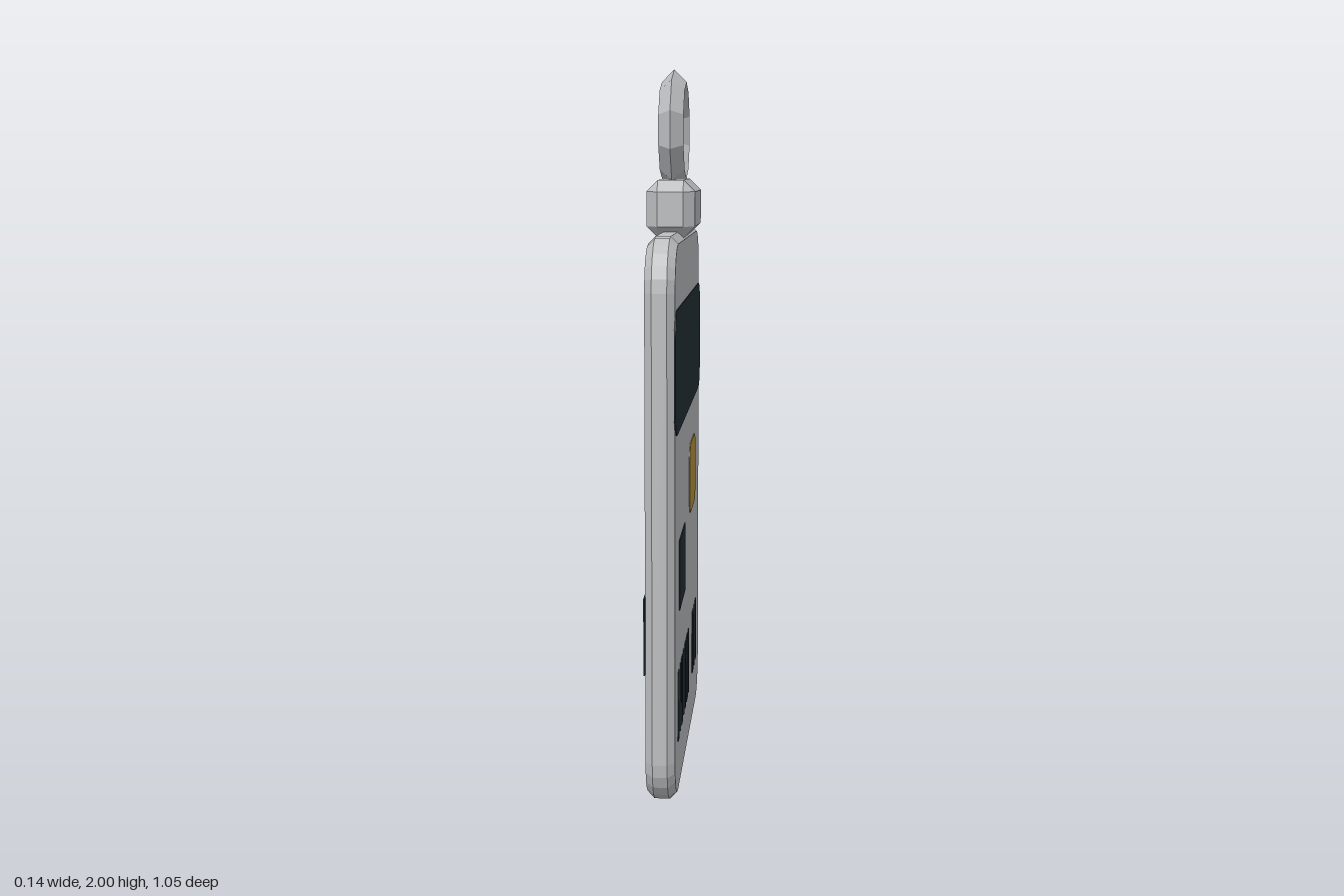
import * as THREE from 'three';
import { ConvexGeometry } from 'three/addons/geometries/ConvexGeometry.js';

const metal = new THREE.MeshStandardMaterial({ name: 'paleGrey', color: 0xbdbfc1, flatShading: true });
const dark = new THREE.MeshStandardMaterial({ name: 'darkSlate', color: 0x263238, flatShading: true });
const gold = new THREE.MeshStandardMaterial({ name: 'gold', color: 0xbb973e, flatShading: true });

const CARD_HALF_THICKNESS = 0.04;

// Rectangle with optional rounded corners, drawn around its centre
function roundedRect(w, h, r) {
  const s = new THREE.Shape();
  const x = w / 2, y = h / 2;
  if (r === 0) {
    s.moveTo(-x, -y).lineTo(x, -y).lineTo(x, y).lineTo(-x, y).closePath();
    return s;
  }
  const q = Math.PI / 2;
  s.absarc(x - r, -y + r, r, -q, 0);
  s.absarc(x - r, y - r, r, 0, q);
  s.absarc(-x + r, y - r, r, q, 2 * q);
  s.absarc(-x + r, -y + r, r, 2 * q, 3 * q);
  s.closePath();
  return s;
}

// Thin printed plate on one broad face (side +1 or -1), spanning z0..z1 and y0..y1
function plate(name, material, side, z0, z1, y0, y1, r = 0) {
  const depth = 0.004;
  const geo = new THREE.ExtrudeGeometry(roundedRect(z1 - z0, y1 - y0, r), {
    depth, bevelEnabled: false, curveSegments: 5,
  });
  geo.rotateY(side * Math.PI / 2);
  const mesh = new THREE.Mesh(geo, material);
  mesh.name = name;
  mesh.position.set(side * (CARD_HALF_THICKNESS - 0.001), (y0 + y1) / 2, (z0 + z1) / 2);
  return mesh;
}

// Box with every edge and corner cut off by c
function chamferedBox(hx, hy, hz, c) {
  const points = [];
  for (const sx of [-1, 1]) for (const sy of [-1, 1]) for (const sz of [-1, 1]) {
    points.push(
      new THREE.Vector3(sx * hx, sy * (hy - c), sz * (hz - c)),
      new THREE.Vector3(sx * (hx - c), sy * hy, sz * (hz - c)),
      new THREE.Vector3(sx * (hx - c), sy * (hy - c), sz * hz),
    );
  }
  return new ConvexGeometry(points);
}

export function createModel() {
  const model = new THREE.Group();
  model.name = 'keyCard';

  // Card body with bevelled rim, broad faces towards +x and -x
  const bevel = 0.02;
  const cardGeo = new THREE.ExtrudeGeometry(roundedRect(1.05, 1.55, 0.14), {
    depth: 2 * (CARD_HALF_THICKNESS - bevel), curveSegments: 3,
    bevelSize: bevel, bevelThickness: bevel, bevelOffset: -bevel, bevelSegments: 1,
  });
  cardGeo.translate(0, 0.775, -(CARD_HALF_THICKNESS - bevel));
  cardGeo.rotateY(Math.PI / 2);
  const card = new THREE.Mesh(cardGeo, metal);
  card.name = 'cardBody';
  model.add(card);

  // Clasp on the top edge
  const clasp = new THREE.Mesh(chamferedBox(0.068, 0.08, 0.165, 0.032), metal);
  clasp.name = 'clasp';
  clasp.position.y = 1.613;
  model.add(clasp);

  // Ten-sided ring of diamond section, one corner pointing up
  const ringGeo = new THREE.TorusGeometry(0.135, 0.035, 4, 10);
  ringGeo.rotateZ(Math.PI / 2);
  ringGeo.rotateY(Math.PI / 2);
  const ring = new THREE.Mesh(ringGeo, metal);
  ring.name = 'ring';
  ring.position.y = 1.83;
  model.add(ring);

  // Printed details on the main face
  model.add(plate('headerBand', dark, 1, -0.525, 0.525, 1.03, 1.362, 0.07));
  model.add(plate('chip', gold, 1, -0.307, -0.053, 0.7, 0.912, 0.045));
  model.add(plate('photoSquare', dark, 1, 0.138, 0.36, 0.525, 0.722));

  // Barcode: centre z and width of each bar
  const bars = [
    [0.39, 0.037], [0.32, 0.017], [0.257, 0.048], [0.188, 0.017], [0.122, 0.032],
    [0.055, 0.059], [-0.01, 0.021], [-0.209, 0.048], [-0.275, 0.021], [-0.341, 0.037],
  ];
  const barcode = new THREE.Group();
  barcode.name = 'barcode';
  for (const [z, w] of bars) {
    barcode.add(plate('bar', dark, 1, z - w / 2, z + w / 2, 0.166, 0.361));
  }
  model.add(barcode);

  // Stripe across the reverse face
  model.add(plate('backStripe', dark, -1, -0.525, 0.525, 0.39, 0.602));

  return model;
}
